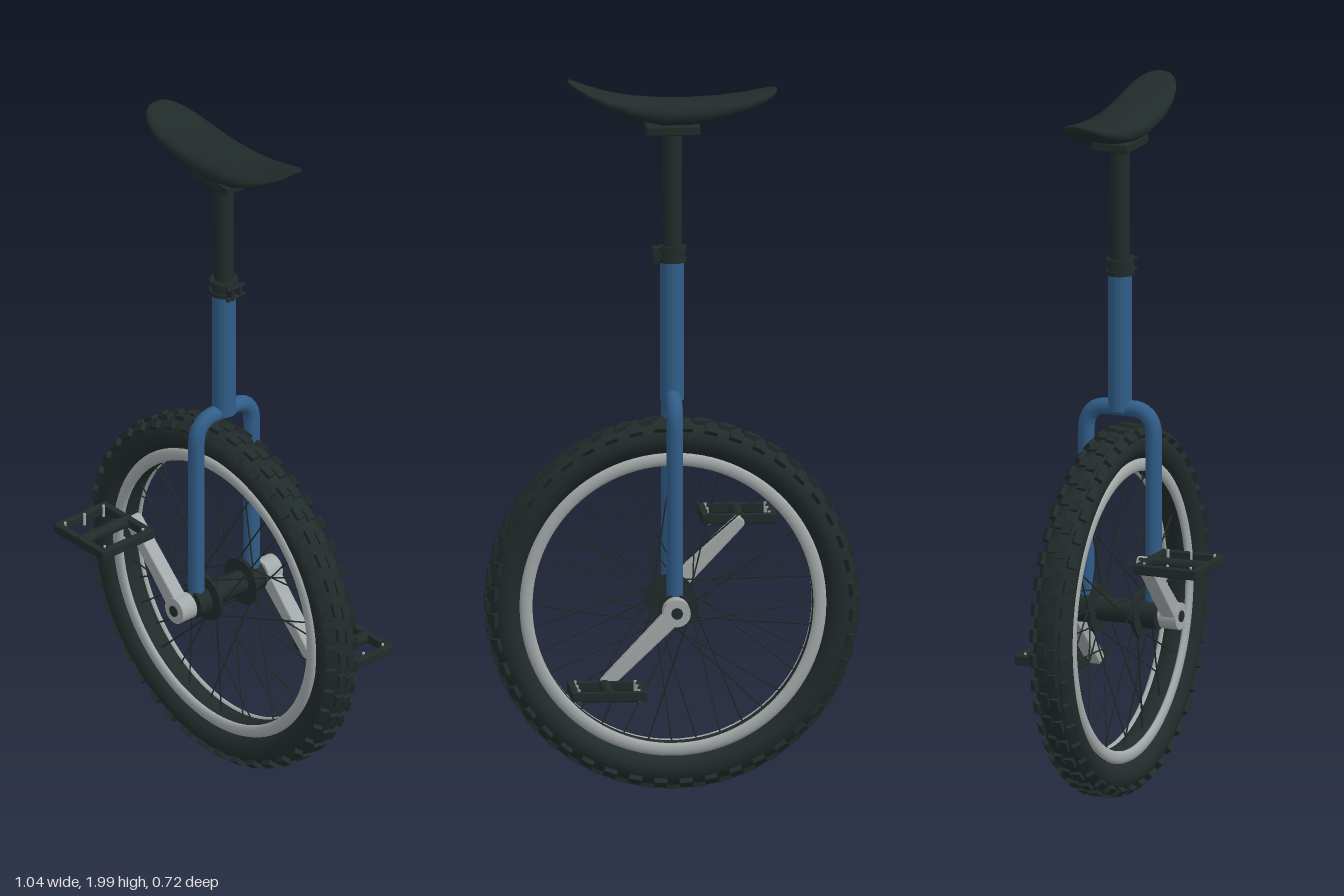
import * as THREE from 'three';
import { mergeGeometries } from 'three/addons/utils/BufferGeometryUtils.js';
import { RoundedBoxGeometry } from 'three/addons/geometries/RoundedBoxGeometry.js';

const AXLE_Y = 0.53;

export function createModel() {
  const mat = (name, color) => {
    const m = new THREE.MeshStandardMaterial({ color });
    m.name = name;
    return m;
  };
  const black = mat('black', 0x212b2a);
  const blue = mat('frame blue', 0x305d88);
  const silver = mat('silver', 0xa3a8a8);

  const model = new THREE.Group();
  model.name = 'unicycle';
  const group = (name, parent = model) => {
    const g = new THREE.Group();
    g.name = name;
    parent.add(g);
    return g;
  };
  const add = (parent, name, geo, material, x = 0, y = 0, z = 0) => {
    const m = new THREE.Mesh(geo, material);
    m.name = name;
    m.position.set(x, y, z);
    parent.add(m);
    return m;
  };
  const cyl = (r, h, seg = 28) => new THREE.CylinderGeometry(r, r, h, seg);
  const cylZ = (r, h, seg = 28) => cyl(r, h, seg).rotateX(Math.PI / 2);
  const box = (w, h, d, r = 0.004) => new RoundedBoxGeometry(w, h, d, 2, r);
  // Ring around the z axis with an elliptical section
  const ring = (radius, a, b, seg = 96, sides = 20) => {
    const pts = [];
    for (let i = 0; i <= sides; i++) {
      const t = (i / sides) * Math.PI * 2;
      pts.push(new THREE.Vector2(radius + a * Math.cos(t), b * Math.sin(t)));
    }
    return new THREE.LatheGeometry(pts, seg).rotateX(Math.PI / 2);
  };

  // Wheel
  const wheel = group('wheel');
  wheel.position.y = AXLE_Y;
  add(wheel, 'tyre', ring(0.466, 0.047, 0.055), black);
  add(wheel, 'rimBed', ring(0.408, 0.02, 0.036), black);
  for (const s of [-1, 1]) add(wheel, 'rimSide', ring(0.407, 0.018, 0.01, 96, 12), silver, 0, 0, s * 0.033);

  // Tread: paired centre blocks and tilted shoulder blocks
  const knobs = [];
  const COUNT = 44;
  for (let i = 0; i < COUNT; i++) {
    const angle = (i / COUNT) * Math.PI * 2;
    const half = Math.PI / COUNT;
    for (const s of [-1, 1]) {
      knobs.push(new THREE.BoxGeometry(0.038, 0.016, 0.024)
        .translate(0, 0.511, s * 0.014).rotateZ(angle + (s > 0 ? half * 0.4 : 0)));
      knobs.push(new THREE.BoxGeometry(0.036, 0.018, 0.024)
        .rotateX(s * 0.75).translate(0, 0.499, s * 0.044).rotateZ(angle + half));
    }
  }
  add(wheel, 'treadBlocks', mergeGeometries(knobs), black);

  // Spokes leave the hub flanges at alternating slants
  const up = new THREE.Vector3(0, 1, 0);
  const spokes = [];
  for (let i = 0; i < 36; i++) {
    const s = i % 2 ? 1 : -1;
    const slant = Math.floor(i / 2) % 2 ? 0.9 : -0.9;
    const t = (i / 36) * Math.PI * 2;
    const a = new THREE.Vector3(0.058 * Math.cos(t + slant), 0.058 * Math.sin(t + slant), s * 0.066);
    const b = new THREE.Vector3(0.392 * Math.cos(t), 0.392 * Math.sin(t), s * 0.01);
    const dir = b.clone().sub(a);
    const mid = a.clone().add(b).multiplyScalar(0.5);
    const q = new THREE.Quaternion().setFromUnitVectors(up, dir.clone().normalize());
    spokes.push(cyl(0.0022, dir.length(), 6).applyQuaternion(q).translate(mid.x, mid.y, mid.z));
  }
  add(wheel, 'spokes', mergeGeometries(spokes), black);

  // Hub, axle and bearings
  add(wheel, 'hubShell', cylZ(0.034, 0.16), black);
  add(wheel, 'axle', cylZ(0.022, 0.29), silver);
  for (const s of [-1, 1]) {
    add(wheel, 'hubFlange', cylZ(0.068, 0.012, 36), black, 0, 0, s * 0.066);
    add(wheel, 'bearingHousing', cylZ(0.043, 0.042), black, 0, 0, s * 0.1);
  }

  // Cranks and pedals, half a turn apart
  const drive = group('drivetrain');
  drive.position.y = AXLE_Y;
  const L = 0.275;
  const armShape = new THREE.Shape();
  armShape.moveTo(0, -0.021);
  armShape.lineTo(L, -0.013);
  armShape.absarc(L, 0, 0.013, -Math.PI / 2, Math.PI / 2, false);
  armShape.lineTo(0, 0.021);
  armShape.closePath();
  for (const s of [1, -1]) {
    const crank = group(s > 0 ? 'frontCrank' : 'rearCrank', drive);
    const arm = add(crank, 'crankArm', new THREE.ExtrudeGeometry(armShape, {
      depth: 0.034, bevelEnabled: true, bevelSize: 0.004, bevelThickness: 0.004, bevelSegments: 2, curveSegments: 10,
    }).translate(0, 0, -0.017), silver, 0, 0, s * 0.159);
    arm.rotation.z = s > 0 ? Math.PI * 0.75 : -Math.PI * 0.25;
    add(crank, 'crankBoss', cylZ(0.038, 0.052, 32), silver, 0, 0, s * 0.157);
    add(crank, 'axleCap', cylZ(0.016, 0.006, 20), black, 0, 0, s * 0.184);

    const pedal = group('pedal', crank);
    pedal.position.set(-s * 0.2, s * 0.2, s * 0.265);
    add(pedal, 'pedalSpindle', cylZ(0.017, 0.185, 20), black);
    add(pedal, 'spindleStub', cylZ(0.01, 0.06, 16), black, 0, 0, -s * 0.09);
    for (const e of [-1, 1]) {
      add(pedal, 'pedalSideBar', box(0.021, 0.028, 0.188), black, e * 0.094, 0, 0);
      add(pedal, 'pedalEndBar', box(0.208, 0.028, 0.02), black, 0, 0, e * 0.085);
      for (const z of [-0.07, 0, 0.07]) add(pedal, 'gripPin', cyl(0.004, 0.036, 8), silver, e * 0.083, 0, z);
    }
  }

  // Fork: one bent tube over the wheel
  const V = (y, z) => new THREE.Vector3(0, y, z);
  const path = new THREE.CurvePath();
  path.add(new THREE.LineCurve3(V(0.56, 0.101), V(1.04, 0.101)));
  path.add(new THREE.CubicBezierCurve3(V(1.04, 0.101), V(1.08, 0.101), V(1.107, 0.08), V(1.107, 0.04)));
  path.add(new THREE.LineCurve3(V(1.107, 0.04), V(1.107, -0.04)));
  path.add(new THREE.CubicBezierCurve3(V(1.107, -0.04), V(1.107, -0.08), V(1.08, -0.101), V(1.04, -0.101)));
  path.add(new THREE.LineCurve3(V(1.04, -0.101), V(0.56, -0.101)));
  const frame = group('frame');
  add(frame, 'fork', new THREE.TubeGeometry(path, 100, 0.023, 20), blue);
  add(frame, 'seatTube', cyl(0.033, 0.39), blue, 0, 1.295, 0);

  // Seat post and clamp
  const seat = group('seatAssembly');
  add(seat, 'seatPost', cyl(0.027, 0.39), black, 0, 1.665, 0);
  add(seat, 'clampCollar', cyl(0.036, 0.046), black, 0, 1.508, 0);
  for (const y of [1.492, 1.522]) {
    add(seat, 'clampBand', cyl(0.04, 0.012), black, 0, y, 0);
    add(seat, 'clampBolt', cylZ(0.006, 0.06, 12), black, 0.048, y, 0);
  }
  for (const s of [-1, 1]) add(seat, 'clampEar', box(0.026, 0.042, 0.01, 0.003), black, 0.043, 1.508, s * 0.014);
  add(seat, 'saddlePlate', box(0.15, 0.026, 0.108), black, 0, 1.86, 0);

  // Saddle stations: x, bottom, top, half width
  const rows = [
    [-0.291, 1.964, 1.968, 0.004], [-0.286, 1.953, 1.971, 0.03], [-0.272, 1.941, 1.969, 0.05],
    [-0.245, 1.926, 1.963, 0.067], [-0.2, 1.908, 1.954, 0.08], [-0.13, 1.887, 1.946, 0.085],
    [-0.05, 1.874, 1.942, 0.085], [0.03, 1.873, 1.943, 0.085], [0.11, 1.89, 1.949, 0.084],
    [0.18, 1.92, 1.961, 0.08], [0.235, 1.952, 1.978, 0.069], [0.27, 1.975, 1.992, 0.05],
    [0.286, 1.987, 1.999, 0.03], [0.291, 1.996, 2.0, 0.004],
  ];
  const SIDES = 28;
  const pos = [], idx = [];
  const soft = (v) => Math.sign(v) * Math.abs(v) ** 0.8;
  rows.forEach(([x, lo, hi, w], i) => {
    for (let j = 0; j < SIDES; j++) {
      const t = (j / SIDES) * Math.PI * 2;
      pos.push(x, (lo + hi) / 2 + ((hi - lo) / 2) * soft(Math.sin(t)), w * soft(Math.cos(t)));
      if (i === rows.length - 1) continue;
      const a = i * SIDES + j, d = i * SIDES + ((j + 1) % SIDES);
      idx.push(a, a + SIDES, d + SIDES, a, d + SIDES, d);
    }
  });
  const saddle = new THREE.BufferGeometry();
  saddle.setAttribute('position', new THREE.Float32BufferAttribute(pos, 3));
  saddle.setIndex(idx);
  saddle.computeVertexNormals();
  add(seat, 'saddle', saddle, black);

  return model;
}
